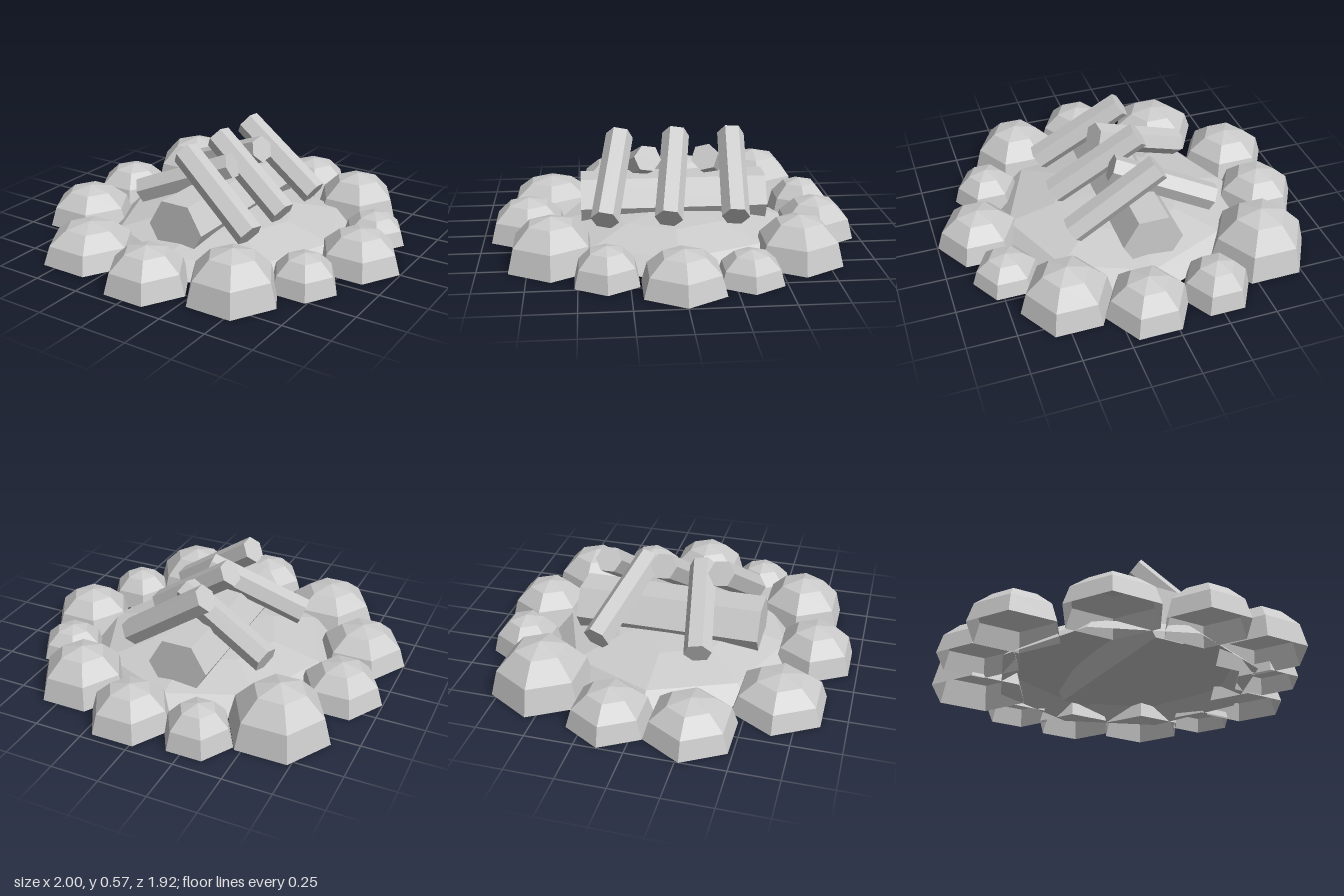
import * as THREE from 'three';

const material = new THREE.MeshStandardMaterial({ color: 0xcccccc, flatShading: true, side: THREE.DoubleSide });

function addPart(group, name, geometry) {
  const mesh = new THREE.Mesh(geometry, material);
  mesh.name = name;
  group.add(mesh);
  return mesh;
}

// Open faceted half-sphere resting on the ground
function dome(radius, height, sides) {
  const geometry = new THREE.SphereGeometry(radius, sides, 3, 0, Math.PI * 2, 0, Math.PI / 2);
  return geometry.scale(1, height / radius, 1);
}

// Hexagonal stick running from one end centre to the other
function addStick(group, from, to) {
  const a = new THREE.Vector3(...from);
  const b = new THREE.Vector3(...to);
  const dir = b.clone().sub(a);
  const stick = addPart(group, 'stick', new THREE.CylinderGeometry(0.073, 0.073, dir.length(), 6));
  stick.position.copy(a).add(b).multiplyScalar(0.5);
  stick.quaternion.setFromUnitVectors(new THREE.Vector3(0, 1, 0), dir.normalize());
}

export function createModel() {
  const model = new THREE.Group();
  model.name = 'campfire';

  // Low ash mound
  addPart(model, 'ashMound', dome(0.7, 0.16, 8));

  // Ring of stones: x, z, radius, height
  const stones = new THREE.Group();
  stones.name = 'stoneRing';
  model.add(stones);
  [
    [-0.6, -0.55, 0.268, 0.28],
    [-0.27, -0.765, 0.185, 0.2],
    [0.095, -0.77, 0.222, 0.21],
    [0.46, -0.61, 0.24, 0.24],
    [0.7, -0.33, 0.177, 0.157],
    [0.77, 0, 0.226, 0.2],
    [0.65, 0.36, 0.18, 0.18],
    [0.41, 0.63, 0.245, 0.25],
    [0, 0.76, 0.226, 0.212],
    [-0.445, 0.65, 0.256, 0.192],
    [-0.76, 0.268, 0.242, 0.2],
    [-0.775, -0.135, 0.222, 0.2],
  ].forEach(([x, z, radius, height]) => {
    addPart(stones, 'stone', dome(radius, height, 6)).position.set(x, 0, z);
  });

  // Thick log lying front to back, flat side up
  const log = new THREE.CylinderGeometry(0.16, 0.16, 0.99, 6).rotateY(Math.PI / 6).rotateX(Math.PI / 2);
  addPart(model, 'mainLog', log).position.set(-0.03, 0.18, -0.015);

  // Sticks leaning on the log from the left side: upper z, lower z
  const sticks = new THREE.Group();
  sticks.name = 'sticks';
  model.add(sticks);
  [[-0.34, -0.31], [-0.04, 0.035], [0.265, 0.36]].forEach(([top, low]) => {
    addStick(sticks, [0.34, 0.195, low], [-0.11, 0.515, top]);
  });

  // Shallower sticks from the right side
  [[-0.175, -0.315], [0.125, 0.22]].forEach(([top, low]) => {
    addStick(sticks, [-0.43, 0.225, low], [0.085, 0.44, top]);
  });

  return model;
}
